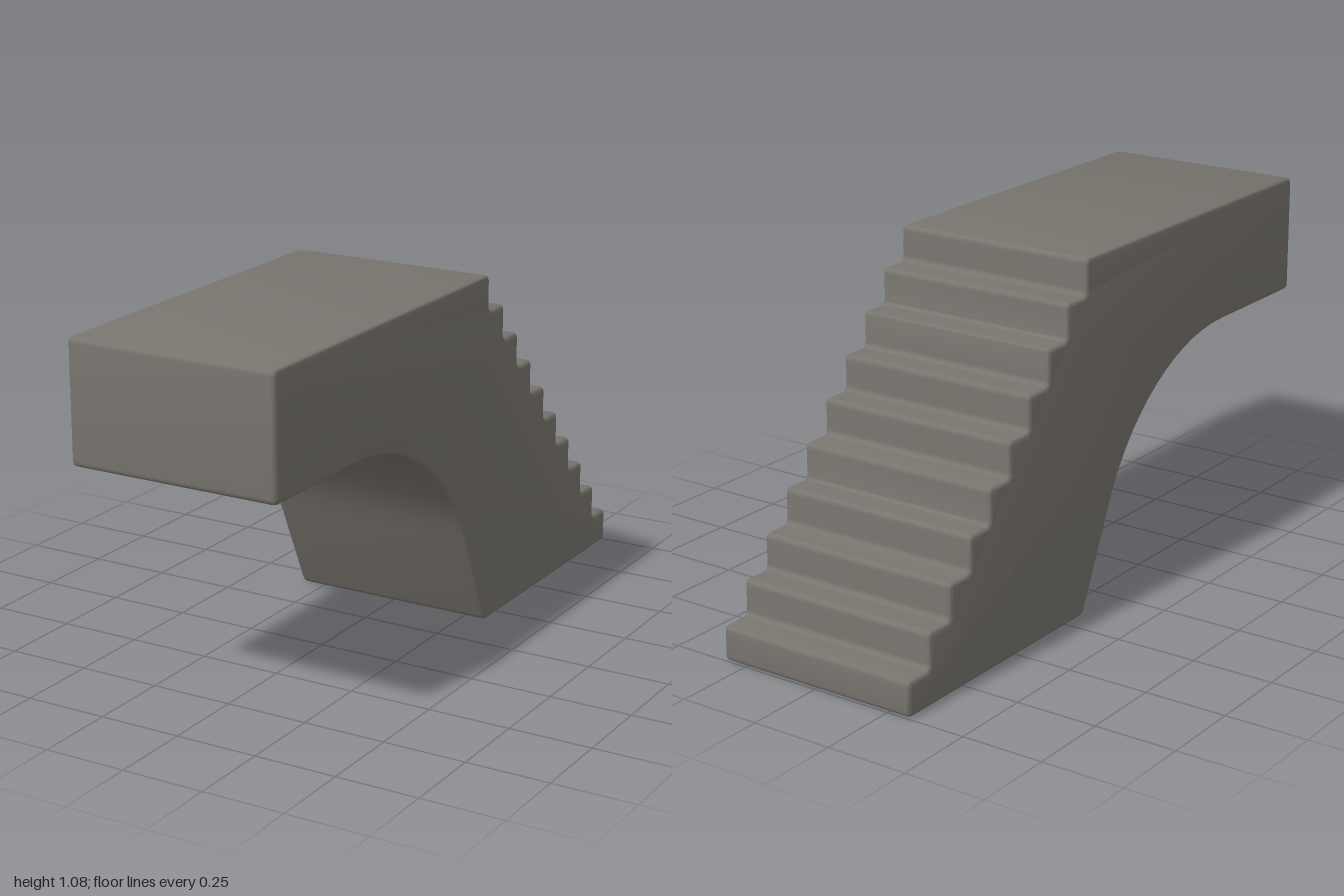
import * as THREE from 'three';
import { toCreasedNormals } from 'three/addons/utils/BufferGeometryUtils.js';

const WIDTH = 0.65, HEIGHT = 1.075, BEVEL = 0.014, ROUND = 0.018;
const STEPS = 10, FIRST_RISER = 0.163;

// Closed shape whose corners [x, y, radius] are softened when a radius is given
function roundedShape(corners) {
  const shape = new THREE.Shape();
  corners.forEach(([x, y, r], i) => {
    const p = new THREE.Vector2(x, y);
    const toward = (c) => new THREE.Vector2(c[0], c[1]).sub(p).setLength(r).add(p);
    const a = r ? toward(corners.at(i - 1)) : p;
    if (i === 0) shape.moveTo(a.x, a.y);
    else shape.lineTo(a.x, a.y);
    if (r) {
      const b = toward(corners[(i + 1) % corners.length]);
      shape.quadraticCurveTo(x, y, b.x, b.y);
    }
  });
  shape.closePath();
  return shape;
}

// Side profile: x runs to the back, y up
function profile() {
  const corners = [[-1, 0.712, ROUND], [-1, HEIGHT, ROUND]];
  // descending steps
  const rise = HEIGHT / STEPS, run = (1 - FIRST_RISER) / (STEPS - 1);
  for (let i = 0; i < STEPS; i++) {
    const x = FIRST_RISER + run * i;
    corners.push([x, HEIGHT - rise * i, ROUND], [x, HEIGHT - rise * (i + 1), ROUND]);
  }
  // foot, then the arch up to the underside of the landing
  corners.push([0.165, 0, 0.016]);
  const radius = 0.687, sweep = THREE.MathUtils.degToRad(66.5), segments = 14;
  for (let i = segments; i >= 0; i--) {
    const a = (sweep * i) / segments;
    corners.push([-0.6 + radius * Math.sin(a), 0.712 - radius * (1 - Math.cos(a)), 0]);
  }
  return roundedShape(corners);
}

export function createModel() {
  const stone = new THREE.MeshStandardMaterial({ color: 0x78746e });
  stone.name = 'warm grey stone';

  const depth = WIDTH - 2 * BEVEL;
  const geometry = new THREE.ExtrudeGeometry(profile(), {
    depth, curveSegments: 4, bevelEnabled: true, bevelSegments: 3,
    bevelSize: BEVEL, bevelThickness: BEVEL, bevelOffset: -BEVEL,
  });
  geometry.translate(0, 0, -depth / 2);
  geometry.rotateY(Math.PI / 2);

  const stairs = new THREE.Mesh(toCreasedNormals(geometry, 0.7), stone);
  stairs.name = 'archedStaircase';
  const group = new THREE.Group();
  group.name = 'staircase';
  group.add(stairs);
  return group;
}
